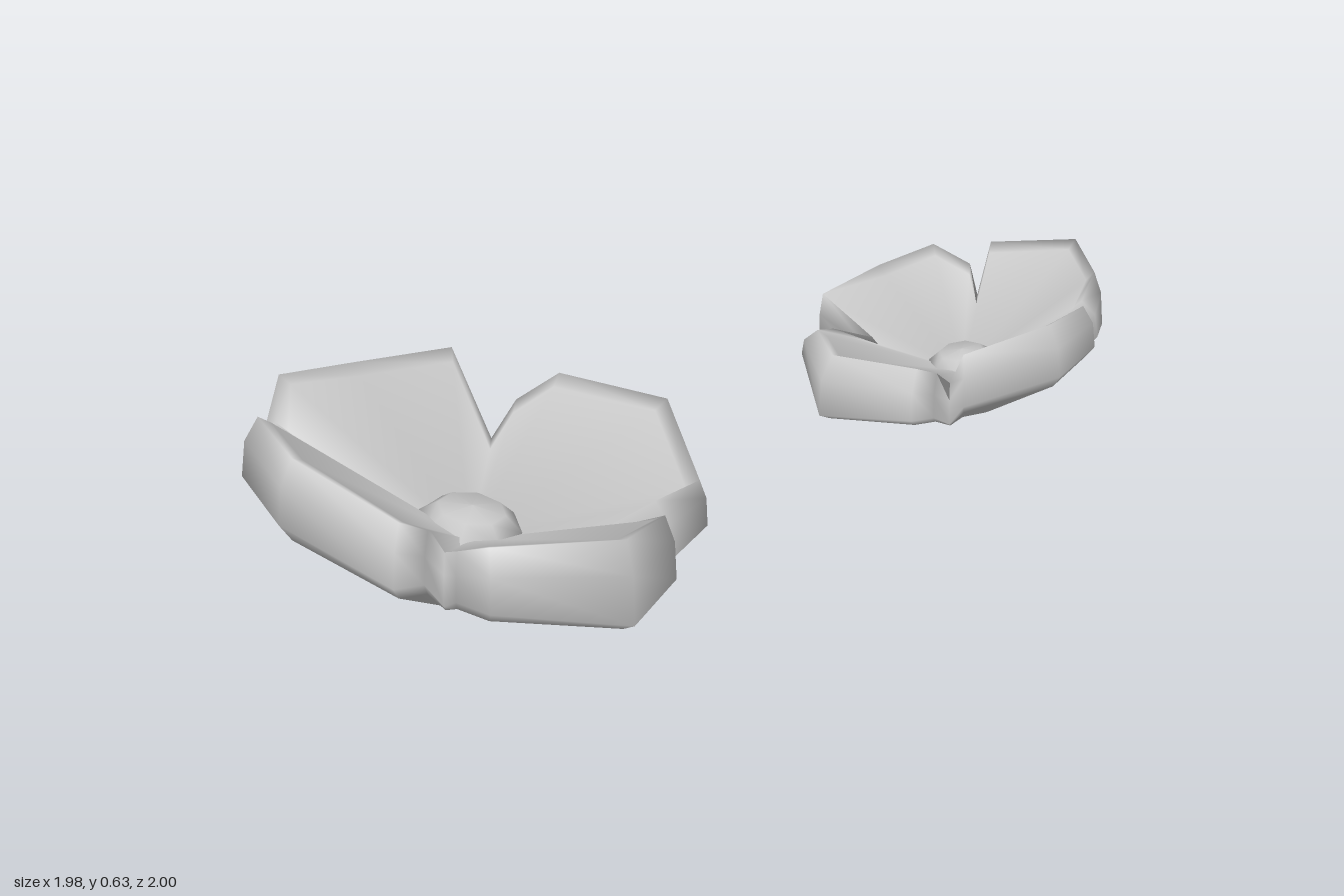
import * as THREE from 'three';

// Outline points are [x, z, rimHeight, outerHeight, rimInset].
// notches run left, front, right, back; petals run counterclockwise between them.
const largeBloom = {
  name: 'largeBlossom', x: -0.43, z: 0.435, floor: 0.16, disc: 0.137, tilt: [-0.12, -0.12],
  notches: [
    [-0.78, 0.43, 0.32, 0.2, 0.01], [-0.43, 0.79, 0.35, 0.19, 0.01],
    [-0.08, 0.43, 0.23, 0.09, 0.01], [-0.44, 0.08, 0.24, 0.1, 0.01],
  ],
  petals: [
    [[-0.95, 0.5, 0.47, 0.36], [-0.99, 0.58, 0.56, 0.38], [-0.84, 0.87, 0.63, 0.44], [-0.52, 1.0, 0.55, 0.37], [-0.45, 0.95, 0.5, 0.36]],
    [[-0.37, 0.94, 0.44, 0.31], [-0.27, 0.995, 0.5, 0.32], [0.07, 0.83, 0.47, 0.22, 0.03], [0.11, 0.47, 0.32, 0.13, 0.03]],
    [[0.08, 0.39, 0.31, 0.13], [0.15, 0.26, 0.3, 0.16, 0.02], [0.01, -0.06, 0.33, 0.09, 0.03], [-0.3, -0.16, 0.31, 0.15, 0.03], [-0.4, -0.09, 0.27, 0.14]],
    [[-0.59, -0.16, 0.34, 0.2, 0.01], [-0.89, 0, 0.42, 0.24, 0.12], [-0.97, 0.28, 0.5, 0.28, 0.02], [-0.98, 0.38, 0.42, 0.3, 0.04]],
  ],
};
const smallBloom = {
  name: 'smallBlossom', x: 0.64, z: -0.62, floor: 0.11, disc: 0.087, tilt: [-0.1, 0.12],
  notches: [
    [0.4, -0.61, 0.19, 0.09, 0.01], [0.65, -0.39, 0.22, 0.1, 0.01],
    [0.88, -0.63, 0.24, 0.13, 0.01], [0.635, -0.86, 0.19, 0.07, 0.01],
  ],
  petals: [
    [[0.28, -0.55, 0.24, 0.13], [0.245, -0.52, 0.25, 0.18], [0.33, -0.31, 0.31, 0.14], [0.58, -0.24, 0.335, 0.2], [0.63, -0.28, 0.3, 0.19]],
    [[0.71, -0.27, 0.38, 0.24, 0.03], [0.94, -0.36, 0.44, 0.3, 0.04], [0.985, -0.6, 0.36, 0.24, 0.03], [0.96, -0.62, 0.32, 0.21]],
    [[0.975, -0.69, 0.32, 0.21], [0.97, -0.78, 0.35, 0.19, 0.02], [0.88, -0.97, 0.32, 0.09, 0.02], [0.65, -0.98, 0.28, 0.13, 0.02]],
    [[0.6, -0.95, 0.24, 0.14], [0.49, -1.0, 0.24, 0.14, 0.02], [0.315, -0.89, 0.26, 0.05, 0.09], [0.265, -0.65, 0.28, 0.12, 0.01]],
  ],
};

// Thick petals as one closed skin: inner faces, rolled rim and underside as rings of one outline
function petalsGeometry(bloom) {
  const { x: cx, z: cz, floor } = bloom;
  const outline = bloom.petals.flatMap((points, i) => [bloom.notches[i], ...points]);
  const radius = ([x, z]) => Math.hypot(x - cx, z - cz);
  const inset = (p) => p[4] ?? 0.04;
  const ring = (dist, height) => outline.map((p) => {
    const k = 1 - dist(p) / radius(p);
    return [cx + (p[0] - cx) * k, height(p), cz + (p[1] - cz) * k];
  });
  const rings = [
    ring((p) => inset(p) + radius(p) * 0.06, (p) => p[2] - 0.02),
    ring(inset, (p) => p[2]),
    ring((p) => inset(p) * 0.15, (p) => p[2] * 0.6 + p[3] * 0.4),
    ring(() => 0, (p) => p[3]),
    ring((p) => radius(p) * 0.07, (p) => p[3] * 0.86),
    ring((p) => radius(p) * 0.75, (p) => p[3] * 0.12),
  ];
  const n = outline.length;
  const last = (rings.length - 1) * n;
  const top = rings.length * n, bottom = top + 1;
  const index = [];
  for (let i = 0; i < n; i++) {
    const j = (i + 1) % n;
    index.push(top, i, j);
    for (let r = 0; r < last; r += n) index.push(r + i, r + n + i, r + n + j, r + i, r + n + j, r + j);
    index.push(last + i, bottom, last + j);
  }
  const points = [...rings.flat(), [cx, floor, cz], [cx, 0, cz]];
  const geometry = new THREE.BufferGeometry();
  geometry.setAttribute('position', new THREE.Float32BufferAttribute(points.flat(), 3));
  geometry.setIndex(index);
  geometry.computeVertexNormals();
  return geometry;
}

function createBlossom(bloom, material) {
  const group = new THREE.Group();
  group.name = bloom.name;

  // Four petals joined at the notches
  const petals = new THREE.Mesh(petalsGeometry(bloom), material);
  petals.name = 'petals';
  group.add(petals);

  // Low eight-sided dome in the middle
  const r = bloom.disc;
  const profile = [[0.8, -0.5], [1, 0], [0.65, 0.28], [0, 0.36]]
    .map(([x, y]) => new THREE.Vector2(x * r, y * r));
  const centre = new THREE.Mesh(new THREE.LatheGeometry(profile, 8), material);
  centre.name = 'flowerCentre';
  centre.position.set(bloom.x, bloom.floor + r * 0.4, bloom.z);
  centre.rotation.set(bloom.tilt[0], 0, bloom.tilt[1]);
  group.add(centre);
  return group;
}

export function createModel() {
  const material = new THREE.MeshStandardMaterial({ color: 0xcccccc });
  const model = new THREE.Group();
  model.name = 'blossoms';
  for (const bloom of [largeBloom, smallBloom]) model.add(createBlossom(bloom, material));
  return model;
}
